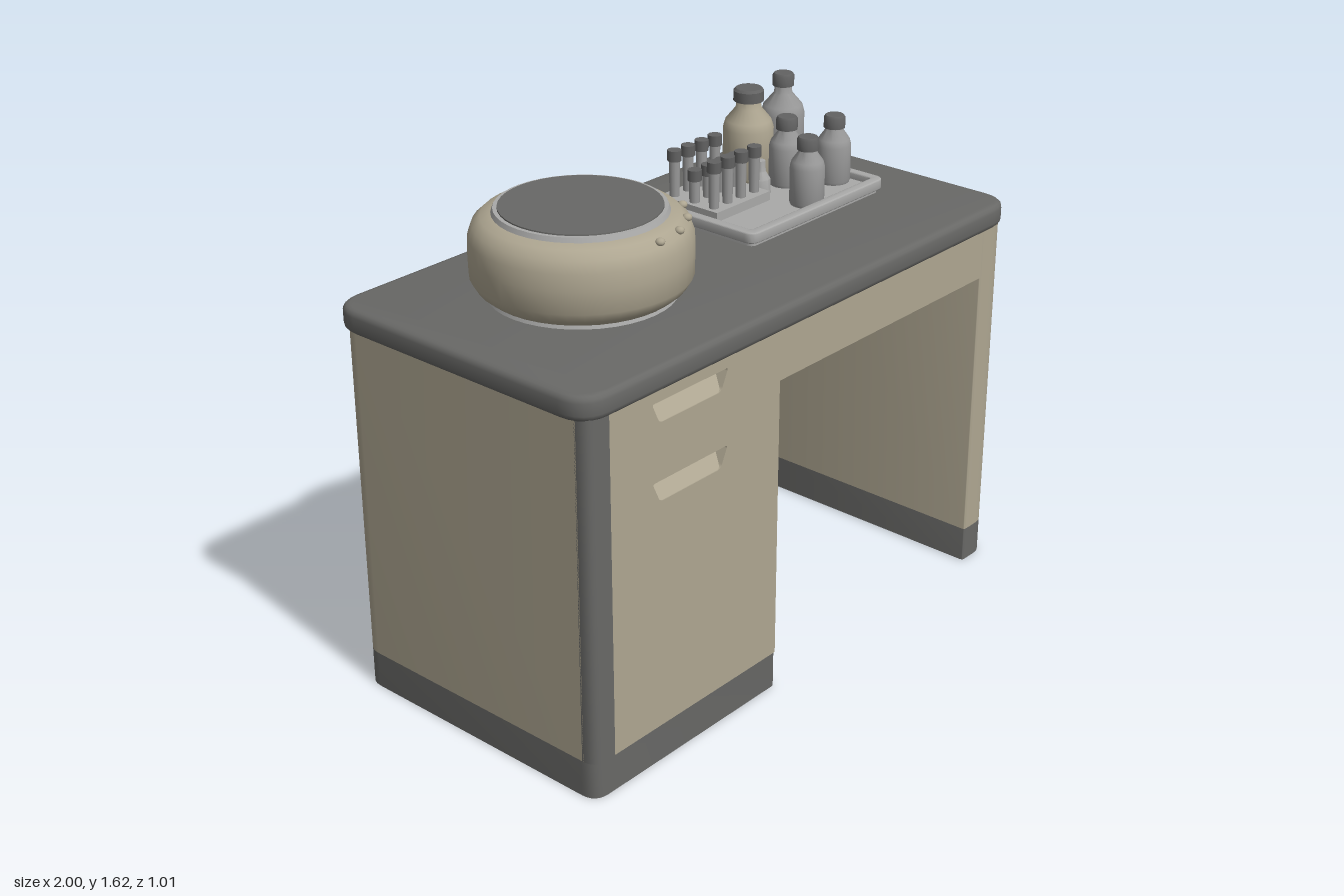
import * as THREE from 'three';
import { toCreasedNormals } from 'three/addons/utils/BufferGeometryUtils.js';

const material = (name, color, side = THREE.FrontSide) => {
  const m = new THREE.MeshStandardMaterial({ color, side });
  m.name = name;
  return m;
};

// Closed outline from [x, y, cornerRadius] points
function roundedOutline(points, Kind = THREE.Shape) {
  const path = new Kind();
  const n = points.length;
  points.forEach(([x, y, r], i) => {
    const toward = ([px, py]) => {
      const d = Math.hypot(px - x, py - y);
      return [x + (px - x) * r / d, y + (py - y) * r / d];
    };
    const a = toward(points[(i + n - 1) % n]);
    const b = toward(points[(i + 1) % n]);
    if (i === 0) path.moveTo(...a); else path.lineTo(...a);
    if (r > 0) path.quadraticCurveTo(x, y, ...b);
  });
  path.closePath();
  return path;
}

const rectangle = (x0, x1, y0, y1, r) => [[x0, y0, r], [x1, y0, r], [x1, y1, r], [x0, y1, r]];

// Extrude a floor plan given in (x, -z) upward from y0 to y1
function slab(shape, y0, y1, bevel = 0) {
  const g = new THREE.ExtrudeGeometry(shape, {
    depth: y1 - y0 - 2 * bevel, curveSegments: 6,
    bevelEnabled: bevel > 0, bevelSize: bevel, bevelThickness: bevel, bevelSegments: 3,
  });
  g.rotateX(-Math.PI / 2).translate(0, y0 + bevel, 0);
  return toCreasedNormals(g, 0.7);
}

export function createModel() {
  const model = new THREE.Group();
  model.name = 'labBench';
  const beige = material('beigePanel', 0xaea691);
  const dark = material('darkGrey', 0x686866);
  const steel = material('paleGrey', 0xa9a9a8);
  const glass = material('bottleGrey', 0x999999);
  const cap = material('capGrey', 0x626262);

  const add = (name, geometry, mat, x = 0, y = 0, z = 0, parent = model) => {
    const mesh = new THREE.Mesh(geometry, mat);
    mesh.name = name;
    mesh.position.set(x, y, z);
    parent.add(mesh);
    return mesh;
  };
  const lathe = (profile, segments = 24) =>
    toCreasedNormals(new THREE.LatheGeometry(profile.map(([r, y]) => new THREE.Vector2(r, y)), segments), 0.7);

  // Cabinet: U-shaped plan with a knee recess open to the front
  const plan = (pedestalFront, leftRadius) => roundedOutline([
    [-0.975, -pedestalFront, leftRadius], [-0.165, -pedestalFront, 0.012],
    [-0.165, 0.38, 0], [0.86, 0.38, 0], [0.86, -0.485, 0.012],
    [0.98, -0.485, 0.055], [0.98, 0.49, 0.055], [-0.975, 0.49, 0.055],
  ]);
  add('skirting', slab(plan(0.485, 0.055), 0, 0.12, 0), dark);
  add('cabinet', slab(plan(0.44, 0), 0.12, 1.215), beige);
  add('apron', new THREE.BoxGeometry(1.03, 0.165, 0.865), beige, 0.3475, 1.1325, 0.0525);

  // Dark post at the front corner of the pedestal
  add('cornerPost', slab(roundedOutline([
    [-0.975, -0.485, 0.045], [-0.89, -0.485, 0], [-0.89, -0.435, 0], [-0.975, -0.435, 0],
  ]), 0.12, 1.215), dark);

  // Pedestal front with two scooped finger pulls
  const front = roundedOutline([
    [-0.89, 0.12, 0], [-0.165, 0.12, 0], [-0.165, 1.215, 0], [-0.89, 1.215, 0]]);
  const pulls = [1.11, 0.865];
  pulls.forEach((y) => front.holes.push(roundedOutline([
    [-0.69, y, 0.015], [-0.72, y + 0.065, 0.01], [-0.40, y + 0.065, 0.01], [-0.43, y, 0.015],
  ], THREE.Path)));
  add('drawerFront', new THREE.ExtrudeGeometry(front, { depth: 0.048, bevelEnabled: false }), beige, 0, 0, 0.437);
  const wedge = new THREE.ExtrudeGeometry(
    roundedOutline([[0.437, -0.005, 0], [0.484, -0.002, 0], [0.441, 0.05, 0]]),
    { depth: 0.32, bevelEnabled: false }).rotateY(-Math.PI / 2);
  pulls.forEach((y) => add('fingerPull', wedge, beige, -0.40, y, 0));

  // Worktop with softened edges
  add('worktop', slab(roundedOutline(rectangle(-0.98, 0.98, -0.48, 0.49, 0.08)), 1.21, 1.287, 0.02), dark);

  // Round benchtop machine
  const machine = new THREE.Group();
  machine.name = 'roundMachine';
  machine.position.set(-0.455, 0, -0.025);
  model.add(machine);
  add('machineFoot', new THREE.CylinderGeometry(0.275, 0.285, 0.03, 40), steel, 0, 1.297, 0, machine);
  add('machineBody', lathe([
    [0, 1.3], [0.285, 1.3], [0.31, 1.32], [0.328, 1.35], [0.33, 1.42], [0.328, 1.47],
    [0.315, 1.505], [0.29, 1.528], [0.255, 1.538], [0, 1.538],
  ], 40), beige, 0, 0, 0, machine);
  add('lidRim', new THREE.CylinderGeometry(0.253, 0.262, 0.022, 40), steel, 0, 1.54, 0, machine);
  add('lid', new THREE.CylinderGeometry(0.24, 0.242, 0.016, 40), dark, 0, 1.547, 0, machine);
  for (const a of [0, 0.34, 0.68, 1.02]) {
    const knob = add('knob', new THREE.SphereGeometry(0.015, 10, 8), beige,
      Math.sin(a) * 0.305, 1.518, Math.cos(a) * 0.305, machine);
    knob.scale.y = 0.8;
  }

  // Shallow tray with a raised rim
  const tray = new THREE.Group();
  tray.name = 'tray';
  model.add(tray);
  add('trayFloor', slab(roundedOutline(rectangle(0.125, 0.77, -0.135, 0.28, 0.025)), 1.283, 1.312), steel, 0, 0, 0, tray);
  const rim = roundedOutline(rectangle(0.115, 0.778, -0.145, 0.288, 0.03));
  rim.holes.push(roundedOutline(rectangle(0.14, 0.755, -0.12, 0.265, 0.02), THREE.Path));
  add('trayRim', slab(rim, 1.3, 1.335, 0.004), steel, 0, 0, 0, tray);

  // Bottles: x, z, body radius, cap radius, top height, body material
  const bottles = [
    [0.555, -0.24, 0.083, 0.05, 1.612, beige],
    [0.745, -0.25, 0.072, 0.036, 1.615, glass],
    [0.58, -0.10, 0.057, 0.035, 1.54, glass],
    [0.70, 0.0, 0.056, 0.035, 1.537, glass],
    [0.48, 0.065, 0.056, 0.035, 1.535, glass],
  ];
  bottles.forEach(([x, z, r, c, top, mat]) => {
    const bottle = new THREE.Group();
    bottle.name = 'bottle';
    bottle.position.set(x, 1.31, z);
    model.add(bottle);
    const h = top - 1.31;
    add('bottleBody', lathe([
      [0, 0], [r * 0.92, 0], [r, 0.012], [r, h * 0.56], [r * 0.9, h * 0.65],
      [c * 0.85, h * 0.78], [c * 0.75, h * 0.9], [0, h * 0.9],
    ]), mat, 0, 0, 0, bottle);
    add('bottleCap', lathe([
      [0, h - 0.042], [c, h - 0.042], [c, h - 0.008], [c * 0.85, h], [0, h],
    ], 16), cap, 0, 0, 0, bottle);
  });

  // Rack of sample tubes
  add('tubeRack', new THREE.BoxGeometry(0.26, 0.035, 0.24), steel, 0.295, 1.325, -0.16);
  const tubeBody = new THREE.CylinderGeometry(0.018, 0.016, 0.15, 10);
  const tubeCap = new THREE.CylinderGeometry(0.023, 0.023, 0.035, 10);
  [[-0.242, 1.495], [-0.158, 1.45], [-0.078, 1.495]].forEach(([z, top]) => {
    for (let i = 0; i < 4; i++) {
      const x = 0.195 + i * 0.065;
      add('tube', tubeBody, glass, x, top - 0.09, z);
      add('tubeCap', tubeCap, cap, x, top - 0.0175, z);
    }
  });

  // Small stoppers lying between the bottles
  [[0.46, -0.11], [0.715, -0.115]].forEach(([x, z]) =>
    add('smallVial', lathe([[0, 0], [0.035, 0], [0.033, 0.05], [0.018, 0.075], [0.016, 0.11], [0, 0.11]], 10),
      steel, x, 1.31, z));

  return model;
}
